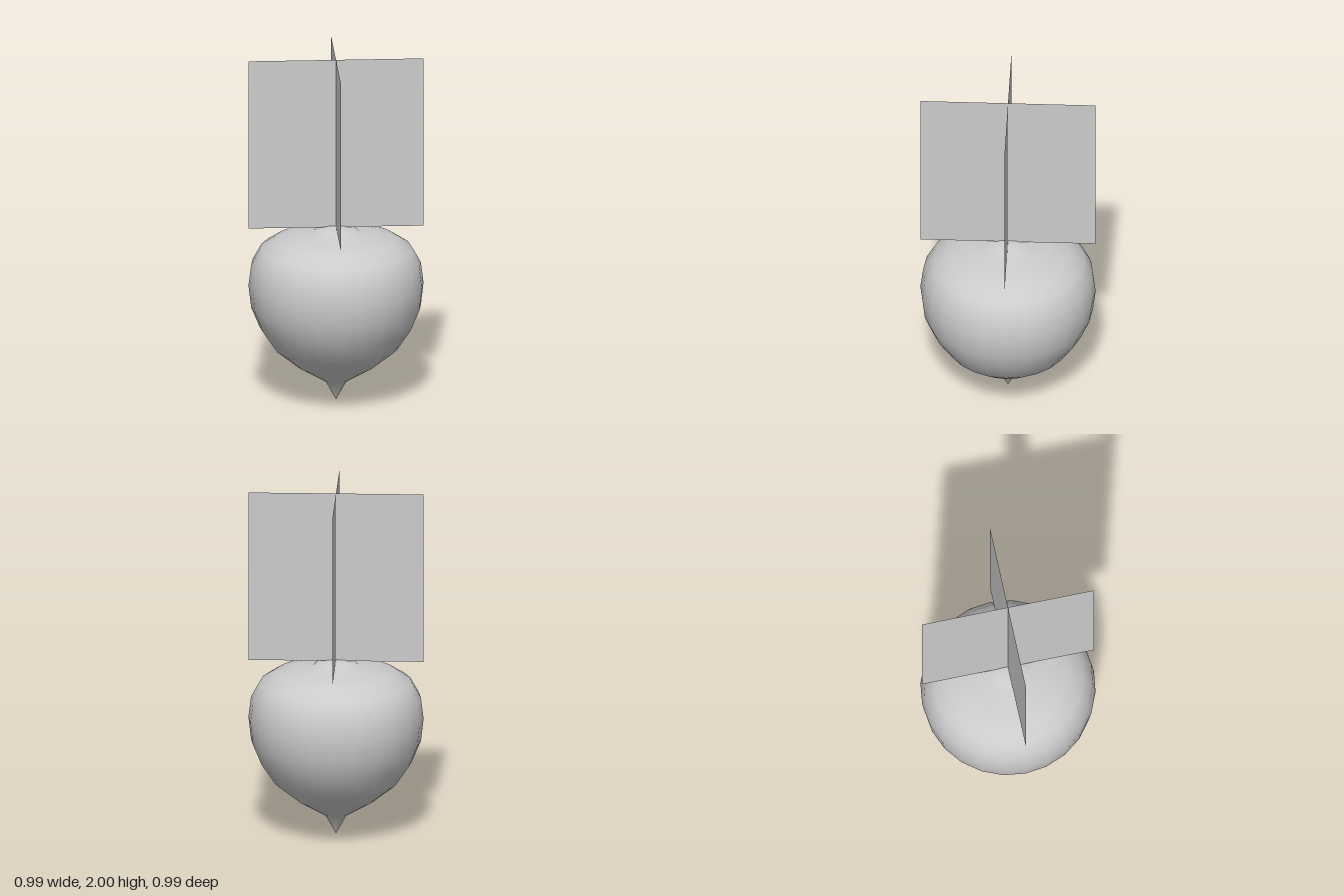
import * as THREE from 'three';

export function createModel() {
  const group = new THREE.Group();
  const smooth = new THREE.MeshStandardMaterial({ color: 0xcccccc });
  const thin = new THREE.MeshStandardMaterial({ color: 0xcccccc, side: THREE.DoubleSide });

  // Bulb with a pointed root and a small stepped crown
  const profile = [
    [0, 0], [0.06, 0.11], [0.22, 0.205], [0.35, 0.31], [0.43, 0.43],
    [0.48, 0.55], [0.495, 0.68], [0.48, 0.8], [0.43, 0.89], [0.345, 0.945],
    [0.24, 0.975], [0.13, 0.987], [0.115, 1.002], [0.065, 1.01], [0.05, 1.02], [0, 1.022],
  ].map(([r, y]) => new THREE.Vector2(r, y));
  const bulb = new THREE.Mesh(new THREE.LatheGeometry(profile, 24), smooth);
  bulb.name = 'bulb';
  group.add(bulb);

  // Two crossed leaf cards standing on the crown
  const leaves = new THREE.Group();
  leaves.name = 'leaves';
  for (let i = 0; i < 2; i++) {
    const leaf = new THREE.Mesh(new THREE.PlaneGeometry(0.99, 0.985), thin);
    leaf.name = 'leafCard';
    leaf.position.y = 1.5075;
    leaf.rotation.y = (i * Math.PI) / 2;
    leaves.add(leaf);
  }
  group.add(leaves);

  return group;
}
